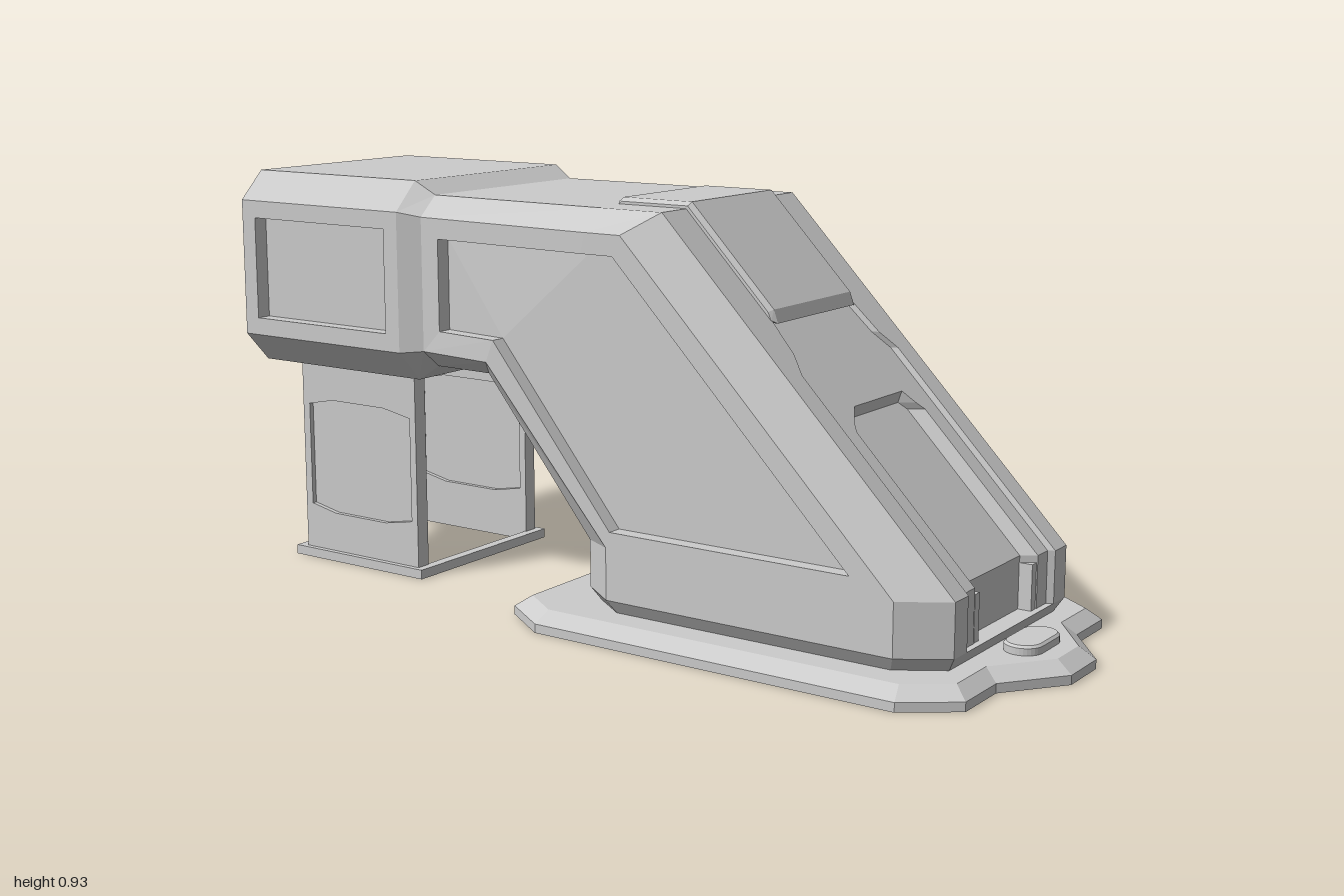
import * as THREE from 'three';

const mat = new THREE.MeshStandardMaterial({ color: 0xcccccc, flatShading: true, side: THREE.DoubleSide });

// Collects flat faces; sign -1 mirrors them across z = 0
class Faces {
  constructor() { this.pos = []; }
  tri(a, b, c, s = 1) {
    for (const p of s > 0 ? [a, b, c] : [a, c, b]) this.pos.push(p[0], p[1], p[2] * s);
  }
  quad(a, b, c, d, s = 1) { this.tri(a, b, c, s); this.tri(a, c, d, s); }
  strip(P, Q, s = 1, skip = []) {
    for (let i = 0; i < P.length - 1; i++)
      if (!skip.includes(i)) this.quad(P[i], P[i + 1], Q[i + 1], Q[i], s);
  }
  // Fills a planar outline; u, v pick the axes used for triangulating
  fill(P, u, v, s = 1) {
    const flat = P.map(p => new THREE.Vector2(p[u], p[v]));
    for (const [a, b, c] of THREE.ShapeUtils.triangulateShape(flat, [])) this.tri(P[a], P[b], P[c], s);
  }
  mesh(name) {
    const g = new THREE.BufferGeometry();
    g.setAttribute('position', new THREE.Float32BufferAttribute(this.pos, 3));
    g.computeVertexNormals();
    return named(g, name);
  }
}

function named(geo, name, x = 0, y = 0, z = 0) {
  const m = new THREE.Mesh(geo, mat);
  m.name = name;
  m.position.set(x, y, z);
  return m;
}
const box = (name, w, h, d, x, y, z) => named(new THREE.BoxGeometry(w, h, d), name, x, y, z);
const loop = P => [...P, P[0]];
const shapeOf = pts => new THREE.Shape(pts.map(p => new THREE.Vector2(...p)));

// Solid from stacked plan outlines; each level is [half outline of [x, z], y]
function stacked(name, levels) {
  const f = new Faces();
  const rings = levels.map(([half, y]) => [
    ...half.map(([x, z]) => [x, y, z]),
    ...half.map(([x, z]) => [x, y, -z]).reverse()]);
  for (let i = 1; i < rings.length; i++) f.strip(loop(rings[i - 1]), loop(rings[i]));
  f.fill([...rings[0]].reverse(), 2, 0);
  f.fill(rings[rings.length - 1], 2, 0);
  return f.mesh(name);
}

// Outline of the body: outer edge of the chamfer, and the side face inside it
const outer = [[-1, .93, .255], [-.52, .93, .255], [-.47, .9, .245], [0, .9, .253], [.15, .9, .255], [.84, .19, .255],
  [.84, .075, .255], [-.04, .075, .255], [-.04, .18, .255], [-.32, .515, .25], [-.47, .515, .245], [-.52, .48, .255], [-1, .48, .255]];
const inner = [[-1, .865, .32], [-.52, .865, .32], [-.47, .855, .295], [0, .855, .32], [.09, .855, .32], [.74, .19, .32],
  [.74, .075, .32], [.05, .075, .32], [.05, .19, .32], [-.27, .555, .32], [-.47, .555, .295], [-.52, .55, .32], [-1, .55, .32]];

// Side face with a sunken panel; rim has one point per edge point.
// Floor outlines list rim indices, one per flat piece
function sunkenSide(f, edge, rim, depth, pieces, s) {
  const floor = rim.map(([x, y, z]) => [x, y, z - depth]);
  f.strip(loop(rim), loop(edge), s);
  f.strip(loop(floor), loop(rim), s);
  for (const ids of pieces) f.fill(ids.map(i => floor[i]), 0, 1, s);
}

function buildBody() {
  const f = new Faces();
  const flip = P => P.map(([x, y, z]) => [x, y, -z]);
  f.strip(loop(outer), loop(flip(outer)), 1, [4, 5, 6, 12]);
  const boxRim = [[-.96, .825, .32], [-.56, .825, .32], [-.56, .59, .32], [-.96, .59, .32]];
  const foot = [.64, .225, .32], heel = [.06, .225, .32];
  const legRim = [[-.42, .81, .298], [-.01, .81, .32], [.07, .81, .32], foot, foot, heel, heel, [-.25, .605, .32], [-.42, .605, .298]];
  for (const s of [1, -1]) {
    f.strip(loop(inner), loop(outer), s, [6, 12]);
    sunkenSide(f, [inner[0], inner[1], inner[11], inner[12]], boxRim, .035, [[0, 1, 2, 3]], s);
    f.quad(inner[11], inner[10], inner[2], inner[1], s);
    sunkenSide(f, inner.slice(2, 11), legRim, .035, [[0, 8, 7, 1], [1, 7, 5, 3, 2]].map(p => p.reverse()), s);
  }
  // Flat end wall
  f.fill([inner[0], inner[12], outer[12], ...flip([outer[12], inner[12], inner[0], outer[0]]), outer[0]], 2, 1);

  // Sloping face: channel (half width w1, depth d1) holding a door recess (w2, d2)
  const row = ([y, w1, d1, w2, d2]) => {
    const x = y > .19 ? .15 + (.9 - y) * .69 / .71 : .84;
    const half = [[.255, 0], [w1, 0], [w1 - .008, d1], [w2, d1], [w2 - .022, d2]];
    return [...half.map(([z, d]) => [x - d, y, z]), ...half.map(([z, d]) => [x - d, y, -z]).reverse()];
  };
  const rows = [[.9, .16, 0, .11, 0], [.7, .16, 0, .11, 0], [.69, .162, .014, .11, .014], [.62, .175, .014, .11, .014],
    [.585, .2, .014, .11, .014], [.51, .2, .014, .112, .014], [.485, .2, .014, .13, .045], [.47, .2, .014, .145, .045],
    [.19, .2, .014, .145, .045], [.075, .2, .014, .145, .045]].map(row);
  for (let i = 1; i < rows.length; i++) f.strip(rows[i], rows[i - 1]);
  return f.mesh('body');
}

// Low stand: two panelled uprights on an open floor frame
function buildStand() {
  const g = new THREE.Group();
  g.name = 'stand';
  const window = [[-.905, .13], [-.905, .375], [-.83, .39], [-.67, .39], [-.588, .375], [-.588, .13], [-.67, .115], [-.83, .115]];
  const plate = shapeOf([[-.925, .02], [-.57, .02], [-.57, .48], [-.925, .48]]);
  plate.holes.push(new THREE.Path(window.map(p => new THREE.Vector2(...p))));
  const frameGeo = new THREE.ExtrudeGeometry(plate, { depth: .035, bevelEnabled: false });
  const panelGeo = new THREE.ExtrudeGeometry(shapeOf(window), { depth: .012, bevelEnabled: false });
  for (const s of [1, -1]) {
    g.add(named(frameGeo, 'upright', 0, 0, s * .2 - .0175));
    g.add(named(panelGeo, 'uprightPanel', 0, 0, s * .2 - .006));
    g.add(box('floorRail', .4, .022, .045, -.75, .011, s * .208));
    g.add(box('crossRail', .025, .022, .4, -.75 + s * .1875, .011, 0));
  }
  return g;
}

export function createModel() {
  const g = new THREE.Group();
  g.add(buildBody(), buildStand());

  // Sill under the leg, tapering inwards to the ground plate
  const sole = [[-.04, .255], [.05, .32], [.74, .32], [.84, .255]];
  const small = sole.map(([x, z]) => [.4 + (x - .4) * .96, z * .94]);
  g.add(stacked('sill', [[small, .045], [sole, .075]]));

  // Ground plate with chamfered rim and pointed nose
  const wide = [[-.2, .32], [-.08, .4], [.79, .4], [.9, .32], [.9, .19], [1, .06]];
  const top = [[-.165, .3], [-.07, .365], [.78, .365], [.87, .3], [.87, .175], [.965, .05]];
  g.add(stacked('groundPlate', [[wide, 0], [wide, .02], [top, .045]]));

  // Rounded pad on the nose
  const pad = new THREE.Shape();
  pad.absarc(0, .036, .036, 0, Math.PI);
  pad.absarc(0, -.036, .036, Math.PI, Math.PI * 2);
  const padGeo = new THREE.ExtrudeGeometry(pad, { depth: .02, bevelThickness: .005, bevelSize: .005, bevelSegments: 1, curveSegments: 8 });
  padGeo.rotateX(-Math.PI / 2);
  g.add(named(padGeo, 'nosePad', .885, .04, 0));

  // Raised hood folding over the top of the slope
  const hood = shapeOf([[-.035, .89], [-.03, .905], [-.018, .914], [.157, .914], [.36, .705], [.37, .677], [.33, .677], [.13, .88]]);
  const hoodGeo = new THREE.ExtrudeGeometry(hood, { depth: .31, bevelThickness: .012, bevelSize: .008, bevelOffset: -.008, bevelSegments: 1 });
  g.add(named(hoodGeo, 'hood', 0, 0, -.155));

  // Short posts beside the door recess
  for (const s of [1, -1]) g.add(box('doorPost', .03, .105, .02, .81, .123, s * .131));

  // Raised relief inside the rear panel
  const relief = [
    [[0, .315], [.22, .315], [-.05, .6], [-.22, .6]],
    [[.29, .315], [.35, .315], [.03, .69], [-.24, .69], [-.25, .67], [-.22, .655], [-.03, .655]]];
  for (const pts of relief)
    g.add(named(new THREE.ExtrudeGeometry(shapeOf(pts), { depth: .025, bevelEnabled: false }), 'rearRelief', 0, 0, -.3));

  // Small hatch set on the rear top chamfer
  const hatch = new THREE.Group();
  hatch.name = 'rearHatch';
  hatch.position.set(-.137, .873, -.282);
  hatch.rotation.x = -.62;
  hatch.add(box('hatchPlate', .09, .008, .035, 0, 0, 0));
  for (const s of [1, -1]) {
    hatch.add(box('hatchSide', .014, .016, .052, s * .051, 0, 0));
    hatch.add(box('hatchEdge', .11, .016, .009, 0, 0, s * .021));
  }
  g.add(hatch);
  return g;
}
